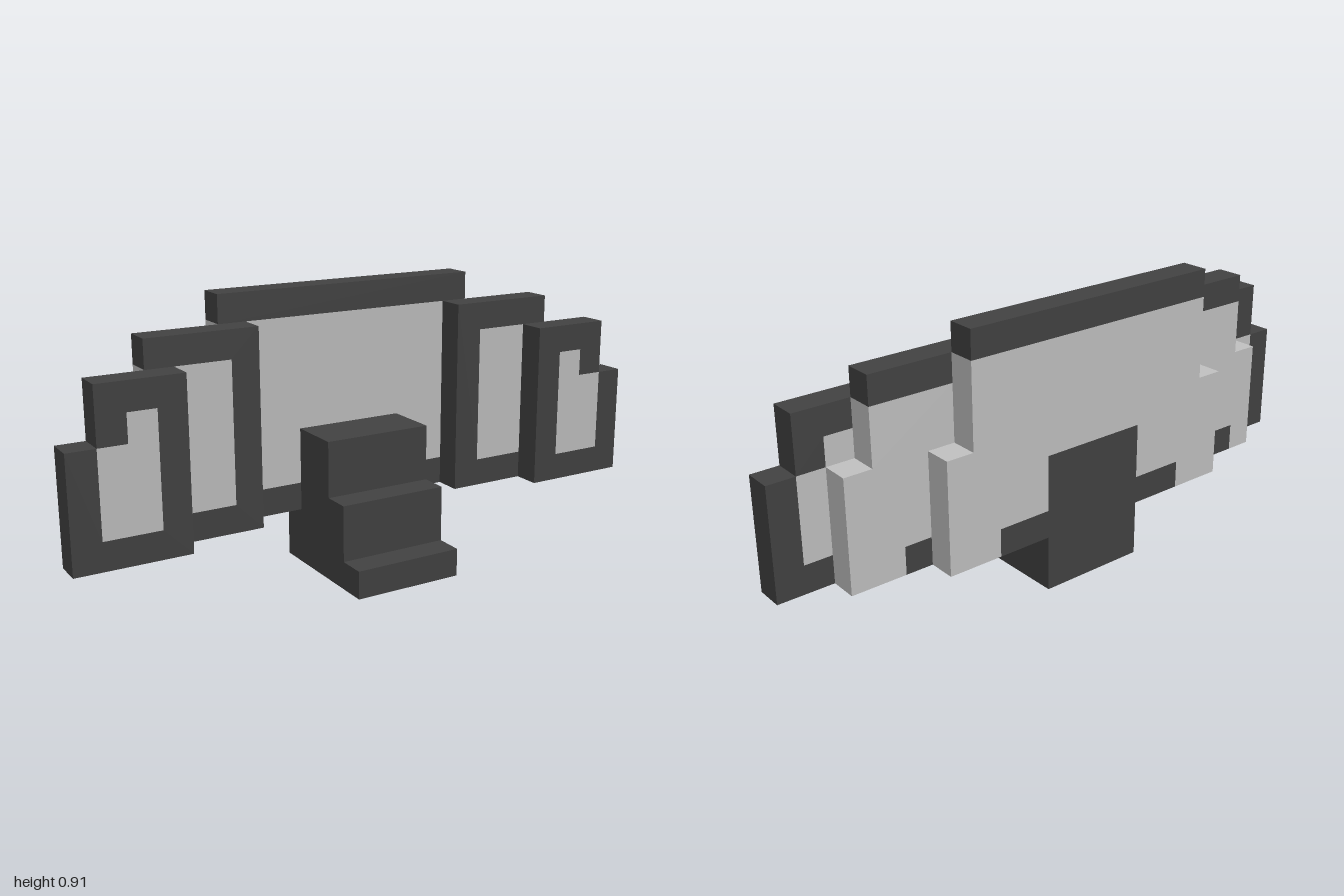
import * as THREE from 'three';

const U = 2 / 22; // one grid step

export function createModel() {
  const model = new THREE.Group();
  model.name = 'curvedScreenOnStand';

  const dark = new THREE.MeshStandardMaterial({ color: 0x424242 });
  dark.name = 'dark grey';
  const light = new THREE.MeshStandardMaterial({ color: 0xc0c0c0 });
  light.name = 'light grey';

  // Stepped outline in grid steps, extruded from z0 to z1; side mirrors x
  function slab(name, material, points, z0, z1, side = 1) {
    const shape = new THREE.Shape(points.map(([x, y]) => new THREE.Vector2(x * side * U, y * U)));
    const geometry = new THREE.ExtrudeGeometry(shape, { depth: (z1 - z0) * U, bevelEnabled: false });
    geometry.translate(0, 0, z0 * U);
    const mesh = new THREE.Mesh(geometry, material);
    mesh.name = name;
    model.add(mesh);
    return mesh;
  }
  const rect = (x0, y0, x1, y1) => [[x0, y0], [x1, y0], [x1, y1], [x0, y1]];

  // Stand: stair profile drawn along depth, then turned to run across x
  const stand = slab('stand', dark,
    [[-2.5, 0], [2.5, 0], [2.5, 1], [1.5, 1], [1.5, 3], [0.5, 3], [0.5, 5], [-2.5, 5]], -2, 2);
  stand.geometry.rotateY(-Math.PI / 2);

  // Centre panel, notched around the stand
  slab('centrePane', light, [
    [-6, 2], [-4, 2], [-4, 3], [-2, 3], [-2, 5], [2, 5], [2, 3], [4, 3], [4, 2], [6, 2],
    [6, 6], [5, 6], [5, 9], [-5, 9], [-5, 6], [-6, 6],
  ], -2.5, -1.5);
  slab('centreTopRail', dark, rect(-5, 9, 5, 10), -2.5, -1.5);

  for (const side of [1, -1]) {
    const label = side > 0 ? 'left' : 'right';
    slab(label + 'CentreBottomRail', dark, rect(2, 2, 4, 3), -2.5, -1.5, side);

    // Middle panel; the bottom rail is one step longer on the right
    const end = side > 0 ? 7 : 8;
    slab(label + 'MiddleFrame', dark,
      [[4, 2], [end, 2], [end, 3], [5, 3], [5, 8], [8, 8], [8, 9], [4, 9]], -1.5, -0.5, side);
    slab(label + 'MiddlePane', light,
      [[end, 2], [9, 2], [9, 6], [8, 6], [8, 8], [5, 8], [5, 3], [end, 3]], -1.5, -0.5, side);

    // Outer panel with stepped top corner
    slab(label + 'OuterFrame', dark,
      [[7, 2], [11, 2], [11, 6], [10, 6], [10, 3], [8, 3], [8, 8], [7, 8]], -0.5, 0.5, side);
    slab(label + 'OuterFrameCorner', dark,
      [[8, 7], [9, 7], [9, 6], [10, 6], [10, 8], [8, 8]], -0.5, 0.5, side);
    slab(label + 'OuterPane', light,
      [[8, 3], [10, 3], [10, 6], [9, 6], [9, 7], [8, 7]], -0.5, 0.5, side);
  }

  return model;
}
